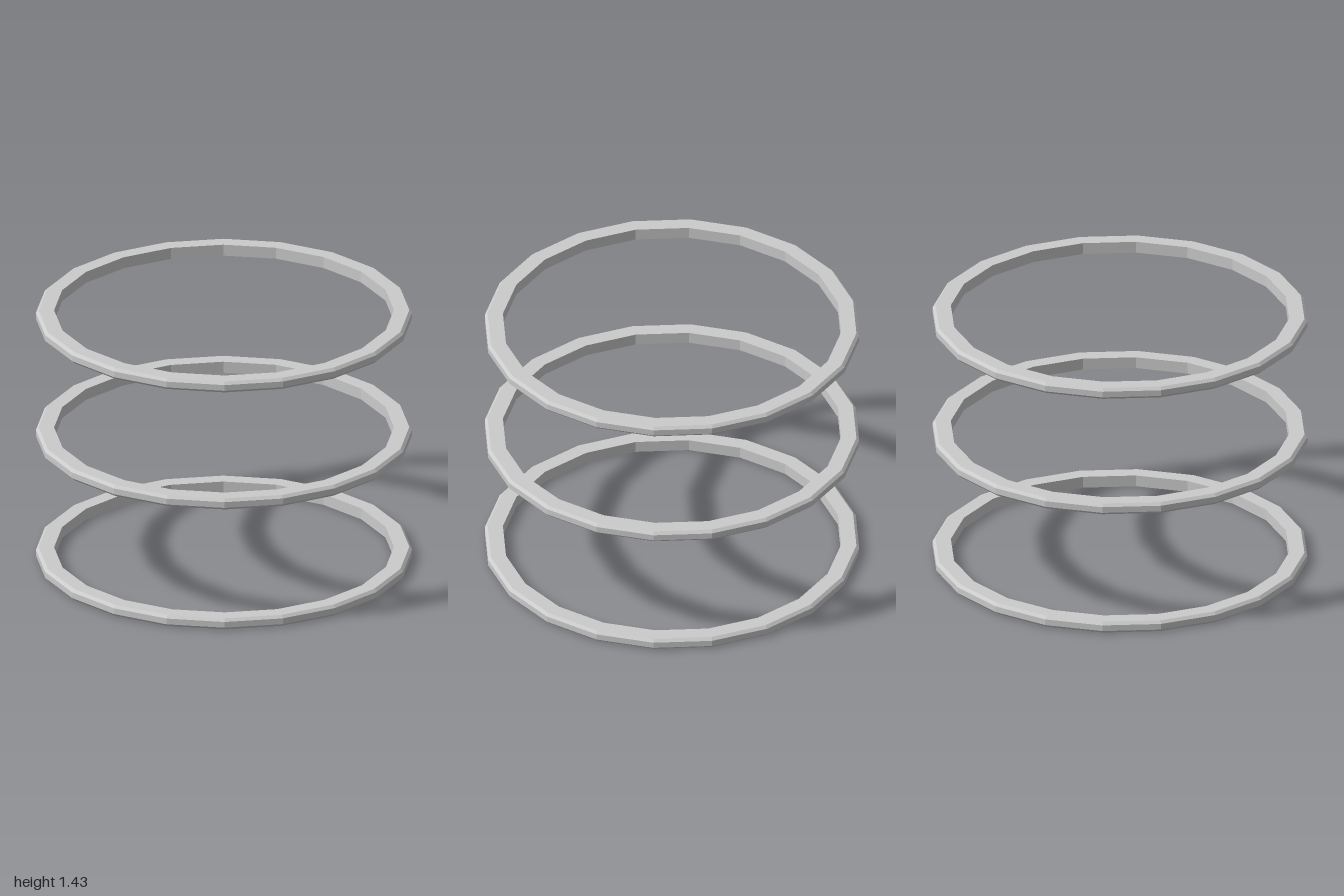
import * as THREE from 'three';

const SEGMENTS = 20;
const HEIGHT = 0.063;

// Closed ring section: straight inner wall, flat top and bottom, chamfered outer rim
function ringGeometry() {
  const inner = 0.903, outer = 1, chamfer = 0.015;
  const profile = [
    [inner, 0],
    [outer - chamfer, 0],
    [outer, chamfer],
    [outer, HEIGHT - chamfer],
    [outer - chamfer, HEIGHT],
    [inner, HEIGHT],
    [inner, 0],
  ].map(([r, y]) => new THREE.Vector2(r, y));
  return new THREE.LatheGeometry(profile, SEGMENTS);
}

export function createModel() {
  const model = new THREE.Group();
  model.name = 'stackedRings';
  const material = new THREE.MeshStandardMaterial({ color: 0xcccccc, flatShading: true });
  const geometry = ringGeometry();

  // Three identical rings floating one above the other
  const rings = { lowerRing: 0, middleRing: 0.69, upperRing: 1.364 };
  for (const [name, y] of Object.entries(rings)) {
    const ring = new THREE.Mesh(geometry, material);
    ring.name = name;
    ring.position.y = y;
    model.add(ring);
  }
  return model;
}
